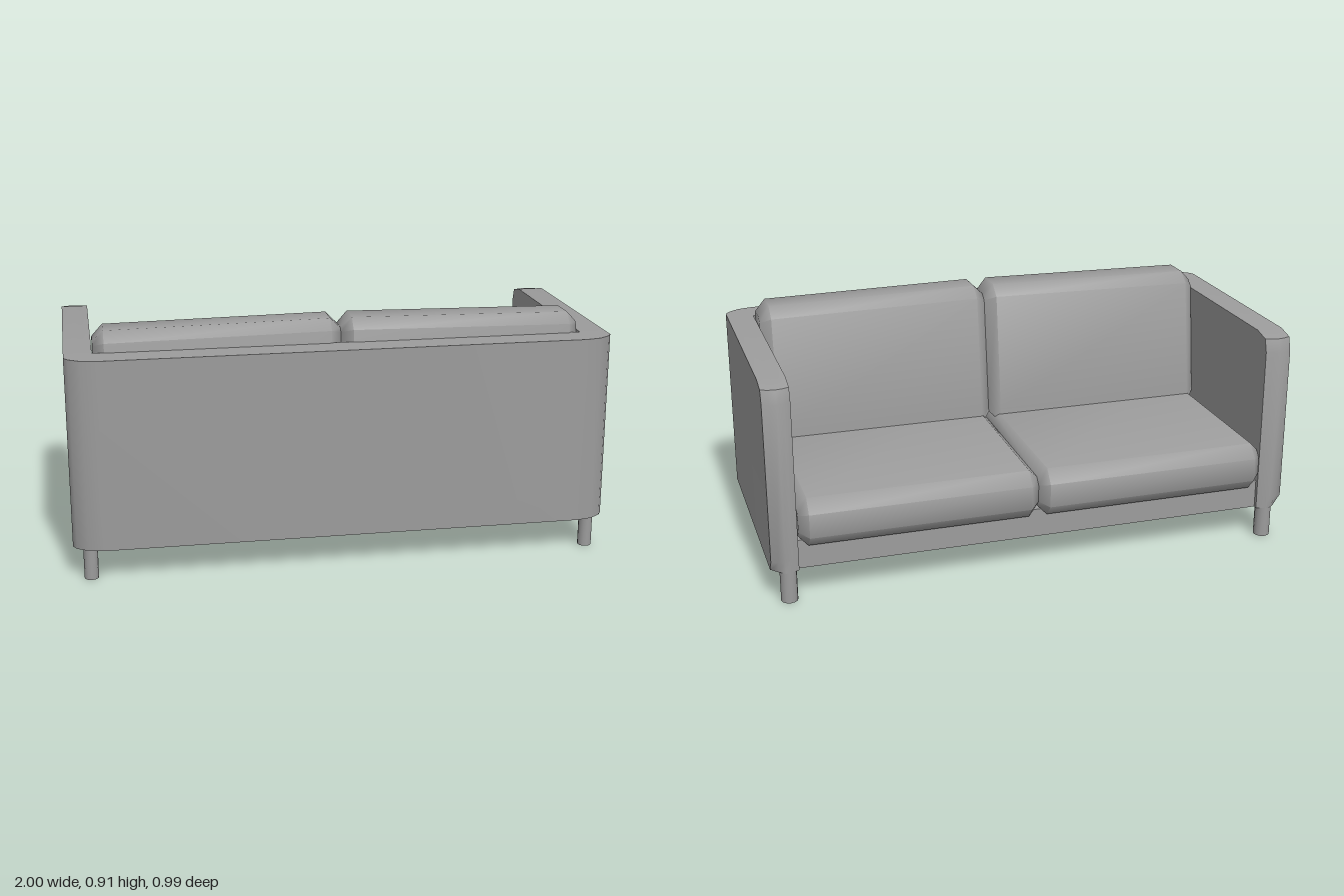
import * as THREE from 'three';
import { toCreasedNormals } from 'three/addons/utils/BufferGeometryUtils.js';

const material = new THREE.MeshStandardMaterial({ color: 0x9c9c9c, side: THREE.DoubleSide });

// Extrudes a side profile of [z, y] points along x, from x0 to x0 + width
function extrudeAcross(profile, x0, width, bevel = 0, steps = 1) {
  const shape = new THREE.Shape(profile.map(([z, y]) => new THREE.Vector2(-z, y)));
  const geometry = new THREE.ExtrudeGeometry(shape, {
    depth: width - 2 * bevel, steps, bevelEnabled: bevel > 0, bevelSegments: 1,
    bevelSize: bevel, bevelThickness: bevel, bevelOffset: -bevel,
  });
  return geometry.rotateY(Math.PI / 2).translate(x0 + bevel, 0, 0);
}

// Moves every vertex by a rule
function reshape(geometry, rule) {
  const pos = geometry.attributes.position;
  const v = new THREE.Vector3();
  for (let i = 0; i < pos.count; i++) {
    rule(v.fromBufferAttribute(pos, i));
    pos.setXYZ(i, v.x, v.y, v.z);
  }
  return geometry;
}

export function createModel() {
  const sofa = new THREE.Group();
  sofa.name = 'sofa';
  const add = (name, geometry, crease = 0.9) => {
    const mesh = new THREE.Mesh(toCreasedNormals(geometry, crease), material);
    mesh.name = name;
    sofa.add(mesh);
  };

  // Back panel with faceted outer corners
  const plan = new THREE.Shape([
    [-1, -0.38], [-1, -0.433], [-0.985, -0.457], [-0.945, -0.485], [-0.887, -0.497],
    [0.887, -0.497], [0.945, -0.485], [0.985, -0.457], [1, -0.433], [1, -0.38],
  ].map(([x, y]) => new THREE.Vector2(x, y)));
  const back = new THREE.ExtrudeGeometry(plan, { depth: 0.705, bevelEnabled: false });
  add('backPanel', back.rotateX(-Math.PI / 2).translate(0, 0.12, 0));

  // Base under the seat
  const base = new THREE.BoxGeometry(1.8, 0.11, 0.825);
  add('base', base.translate(0, 0.175, -0.0325));

  const armProfile = [[0.38, 0.12], [0.38, 0.825], [-0.38, 0.825], [-0.445, 0.81],
    [-0.46, 0.76], [-0.46, 0.165], [-0.425, 0.12]];
  const seatProfile = [[0.35, 0.21], [0.35, 0.395], [-0.455, 0.395], [-0.497, 0.345],
    [-0.497, 0.255], [-0.455, 0.21]];
  const backProfile = [[0.13, 0.36], [0.137, 0.42], [0.195, 0.858], [0.245, 0.897],
    [0.35, 0.897], [0.388, 0.858], [0.388, 0.36]];

  for (const [side, s] of [['left', 1], ['right', -1]]) {
    // Arm with a slightly bulging front edge, its lower corner cut only on the outside
    const arm = extrudeAcross(armProfile, s > 0 ? 0.9 : -1, 0.1, 0, 4);
    add(side + 'Arm', reshape(arm, (v) => {
      const t = (Math.abs(v.x) - 0.95) / 0.05;
      if (v.z < -0.42) {
        if (v.y < 0.13) v.z -= 0.035 * Math.min(1, 1 - t);
        v.z -= 0.015 * (1 - t * t);
      }
    }));

    // Seat and back cushions with chamfered edges
    const x0 = s > 0 ? 0 : -0.897;
    add(side + 'SeatCushion', extrudeAcross(seatProfile, x0, 0.897, 0.035));
    const cushion = extrudeAcross(backProfile, x0, 0.897, 0.04);
    add(side + 'BackCushion', reshape(cushion, (v) => {
      if (v.y > 0.8) v.y += 0.013 * (1 - Math.abs(v.x) / 0.9);
    }));

    // Round legs, the front one running up into the arm
    const rear = new THREE.CylinderGeometry(0.026, 0.026, 0.13, 12);
    add(side + 'RearLeg', rear.translate(s * 0.938, 0.065, 0.444));
    const front = new THREE.CylinderGeometry(0.031, 0.031, 0.165, 12);
    add(side + 'FrontLeg', front.translate(s * 0.938, 0.0825, -0.443));
  }
  return sofa;
}
